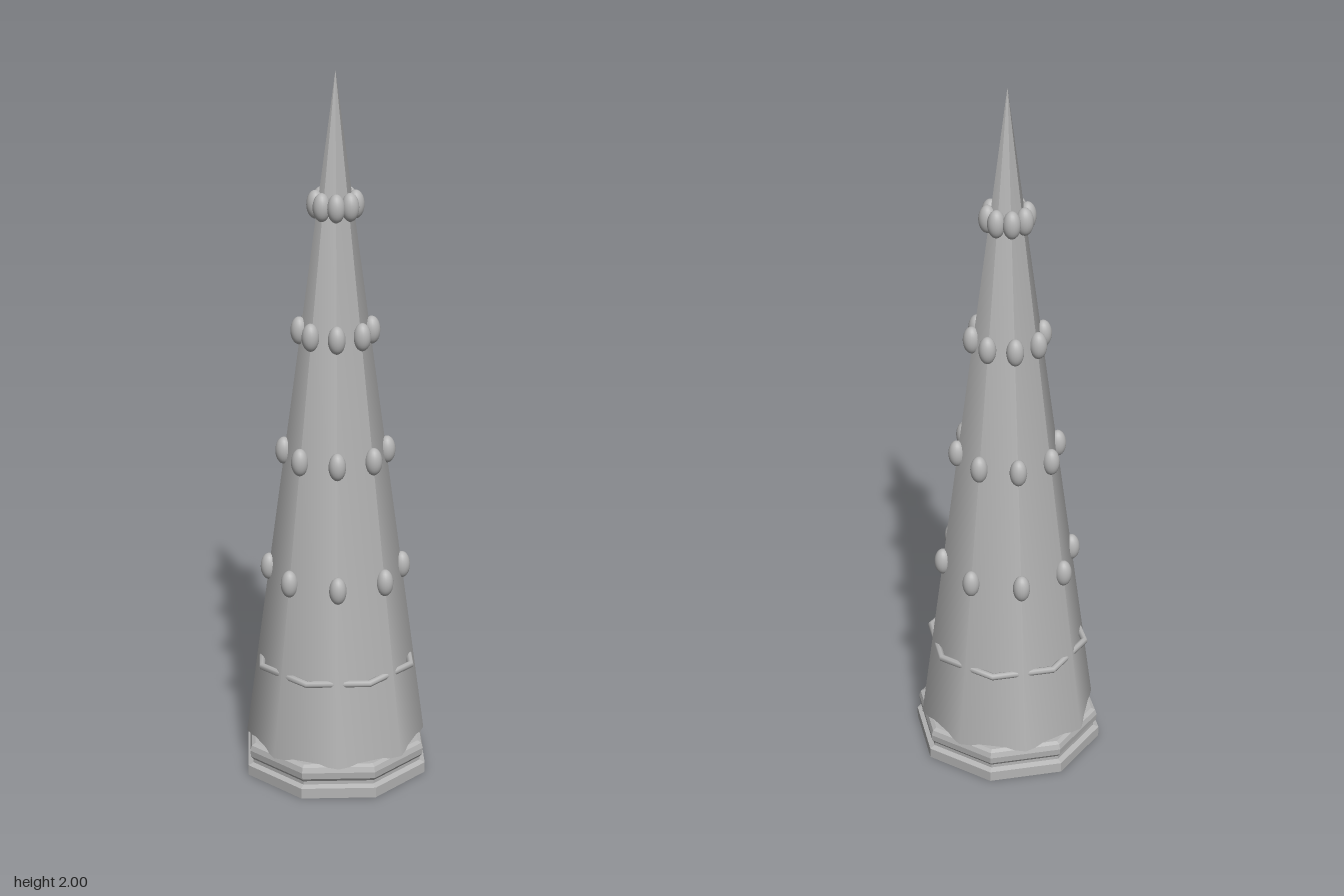
import * as THREE from 'three';

const SIDES = 8;
const TIP = 2;
const BASE_Y = 0.09;
const BASE_R = 0.254;

// Corner radius of the tapering shaft at a given height
const shaftRadius = (y) => (BASE_R * (TIP - y)) / (TIP - BASE_Y);

export function createModel() {
  const model = new THREE.Group();
  const stone = new THREE.MeshStandardMaterial({ color: 0xb4b4b4 });
  stone.name = 'grey stone';

  const add = (geometry, name, parent = model) => {
    const mesh = new THREE.Mesh(geometry, stone);
    mesh.name = name;
    parent.add(mesh);
    return mesh;
  };

  // Eight-sided spire, flat sides facing the axes
  const height = TIP - BASE_Y;
  const spire = add(new THREE.ConeGeometry(BASE_R, height, SIDES, 1), 'spire');
  spire.position.y = BASE_Y + height / 2;
  spire.rotation.y = Math.PI / SIDES;

  // Moulded plinth, corners on the axes
  const profile = [
    [0, 0], [0.272, 0], [0.272, 0.03], [0.256, 0.036], [0.256, 0.046],
    [0.264, 0.056], [0.266, 0.075], [0.261, 0.09], [0.25, 0.096], [0, 0.096],
  ].map(([r, y]) => new THREE.Vector2(r, y));
  const plinthGeometry = new THREE.LatheGeometry(profile, SIDES).toNonIndexed();
  plinthGeometry.computeVertexNormals();
  add(plinthGeometry, 'plinth');

  // Thin band whose corners break through the flat sides
  const band = add(new THREE.TorusGeometry(0.225, 0.01, 8, SIDES), 'band');
  band.rotation.x = Math.PI / 2;
  band.position.y = 0.33;

  // Rings of egg-shaped beads on the corners
  const beadGeometry = new THREE.SphereGeometry(1, 20, 14).scale(0.024, 0.039, 0.024);
  [0.6, 0.945, 1.29, 1.64].forEach((y, ring) => {
    const beads = new THREE.Group();
    beads.name = `beadRing${ring + 1}`;
    const r = shaftRadius(y) + 0.002 * ring;
    for (let i = 0; i < SIDES; i++) {
      const a = ((i + 0.5) / SIDES) * Math.PI * 2;
      add(beadGeometry, 'bead', beads).position.set(r * Math.sin(a), y, r * Math.cos(a));
    }
    model.add(beads);
  });

  return model;
}
